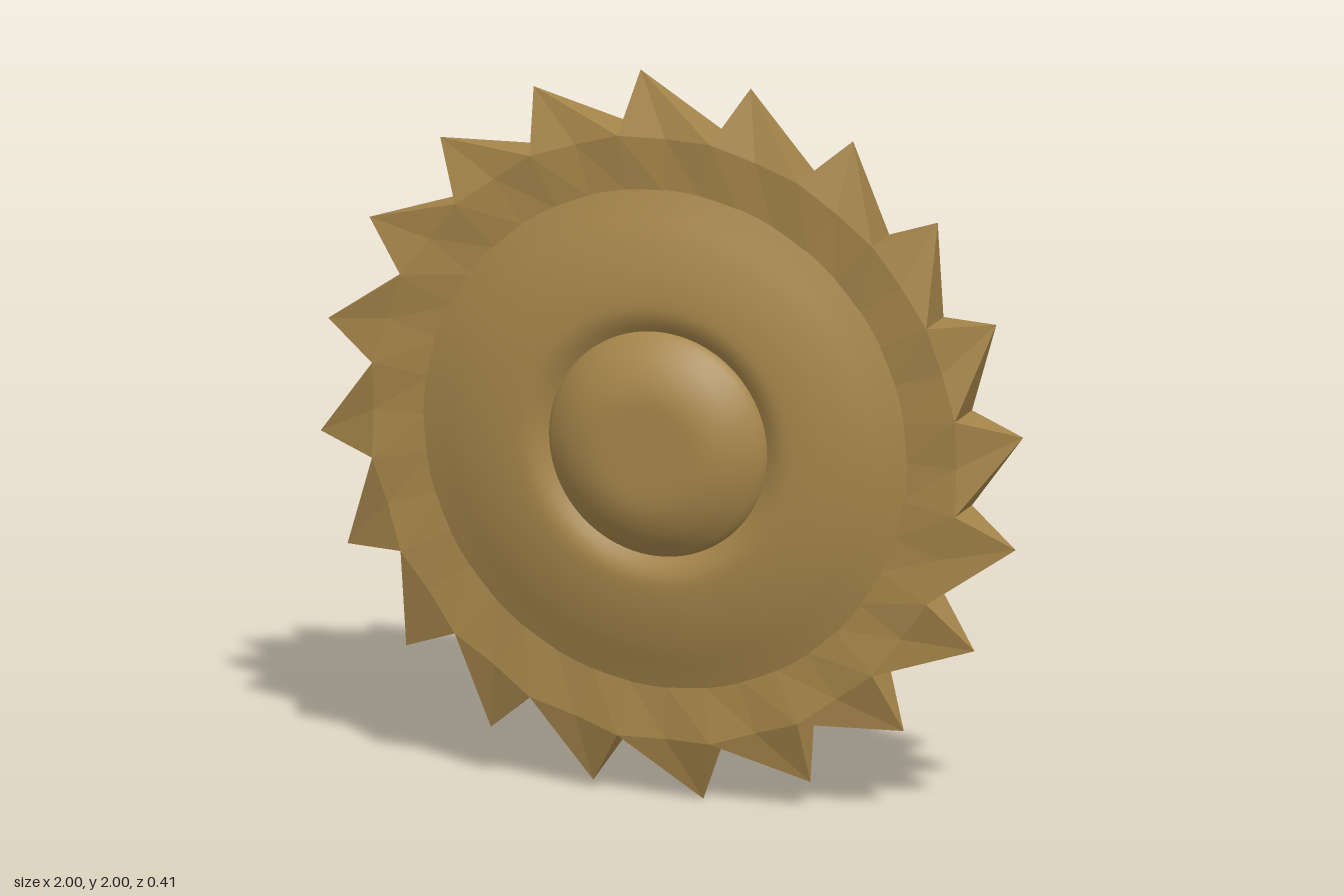
import * as THREE from 'three';

const TEETH = 20;
const TIP_R = 1.004, VALLEY_R = 0.84, ROOT_R = 0.68;
const TIP_SHIFT = THREE.MathUtils.degToRad(5.1); // teeth lean one way

const material = new THREE.MeshStandardMaterial({ color: 0xa5854a });

// Smooth half-profile [radius, height] revolved, then turned to face +z or -z
function revolved(name, profile, side) {
  const curve = new THREE.SplineCurve(profile.map(([r, h]) => new THREE.Vector2(r, h)));
  const points = curve.getPoints(28);
  points.forEach((p) => { p.x = Math.max(p.x, 0); });
  const geometry = new THREE.LatheGeometry(points, 80);
  geometry.rotateX(side * Math.PI / 2);
  const mesh = new THREE.Mesh(geometry, material);
  mesh.name = name;
  return mesh;
}

const polar = (r, angle, z) => [r * Math.cos(angle), r * Math.sin(angle), z];

// Ring of leaning, pointed teeth: thick at the valleys, sharp at the tips
function toothRing() {
  const positions = [];
  const step = (Math.PI * 2) / TEETH;
  const face = (a, b, c, side) => positions.push(...a, ...(side > 0 ? b : c), ...(side > 0 ? c : b));

  for (let i = 0; i < TEETH; i++) {
    const mid = i * step, start = mid - step / 2, end = mid + step / 2;
    const tip = polar(TIP_R, mid + TIP_SHIFT, 0);
    for (const side of [1, -1]) {
      const v0 = polar(VALLEY_R, start, side * 0.065);
      const v1 = polar(VALLEY_R, end, side * 0.065);
      const c = polar(VALLEY_R * Math.cos(step / 2), mid, side * 0.053);
      const r0 = polar(ROOT_R, start, side * 0.05);
      const rc = polar(ROOT_R, mid, side * 0.05);
      const r1 = polar(ROOT_R, end, side * 0.05);
      // broad faces of the tooth
      face(tip, c, v0, side);
      face(tip, v1, c, side);
      // band joining the tooth to the disc
      face(r0, v0, c, side);
      face(r0, c, rc, side);
      face(rc, c, v1, side);
      face(rc, v1, r1, side);
    }
    // cutting flanks
    const flank = (angle, side) =>
      face(tip, polar(VALLEY_R, angle, 0.065), polar(VALLEY_R, angle, -0.065), side);
    flank(start, 1);
    flank(end, -1);
  }

  const geometry = new THREE.BufferGeometry();
  geometry.setAttribute('position', new THREE.Float32BufferAttribute(positions, 3));
  geometry.computeVertexNormals();
  const mesh = new THREE.Mesh(geometry, material);
  mesh.name = 'toothRing';
  return mesh;
}

export function createModel() {
  const model = new THREE.Group();
  model.name = 'sawBlade';

  // Swollen disc with a groove around the hub
  const disc = [
    [0.7, 0.046], [0.64, 0.068], [0.56, 0.098], [0.47, 0.122],
    [0.39, 0.133], [0.35, 0.127], [0.315, 0.108], [0.29, 0.09],
  ];
  // Rounded hub with a nearly flat crown
  const hub = [
    [0.316, 0.09], [0.305, 0.115], [0.28, 0.14], [0.24, 0.17],
    [0.19, 0.194], [0.14, 0.205], [0.07, 0.206], [0, 0.206],
  ];

  for (const [label, side] of [['front', 1], ['back', -1]]) {
    model.add(revolved(label + 'Disc', disc, side), revolved(label + 'Hub', hub, side));
  }
  model.add(toothRing());
  model.children.forEach((part) => { part.position.y = 1; });
  return model;
}
